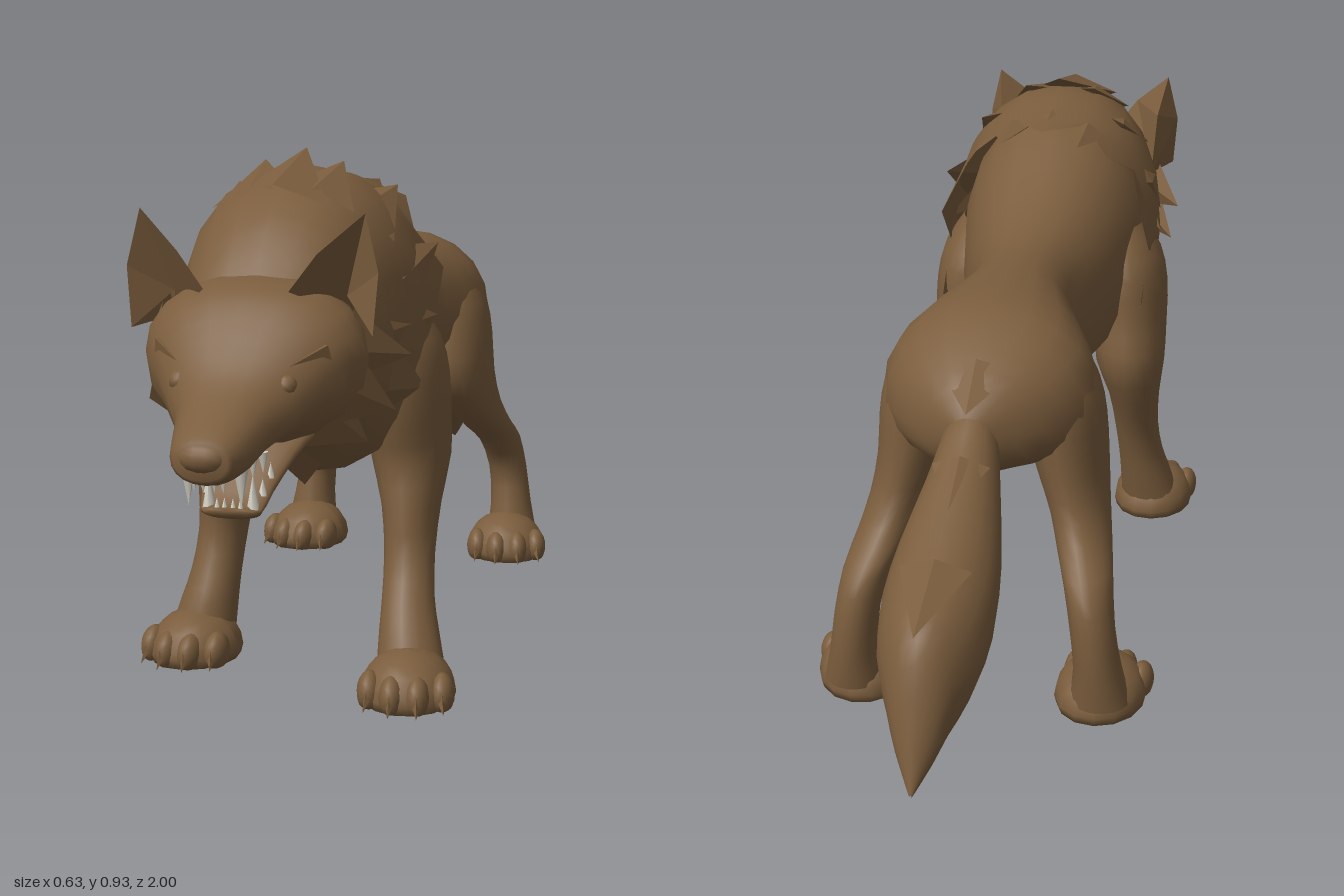
import * as THREE from 'three';

const fur = new THREE.MeshStandardMaterial({ color: 0x7b5d3d });
fur.name = 'brown fur';
const furOpen = new THREE.MeshStandardMaterial({ color: 0x7b5d3d, side: THREE.DoubleSide });
furOpen.name = 'brown fur, thin';
const ivory = new THREE.MeshStandardMaterial({ color: 0xd6d2c6 });
ivory.name = 'ivory teeth';

const SIDES = 20;
const V = (x, y, z) => new THREE.Vector3(x, y, z);

function add(parent, name, geometry, material = fur) {
  const mesh = new THREE.Mesh(geometry, material);
  mesh.name = name;
  parent.add(mesh);
  return mesh;
}

// Catmull-Rom refinement of a list of number rows
function refine(rows, steps = 2) {
  const out = [];
  for (let i = 0; i < rows.length - 1; i++) {
    const [a, b, c, d] = [rows[Math.max(i - 1, 0)], rows[i], rows[i + 1], rows[Math.min(i + 2, rows.length - 1)]];
    for (let k = 0; k < steps; k++) {
      const t = k / steps;
      out.push(b.map((_, n) => b[n] + 0.5 * t * (c[n] - a[n] + t * (2 * a[n] - 5 * b[n] + 4 * c[n] - d[n] + t * (3 * (b[n] - c[n]) + d[n] - a[n])))));
    }
  }
  out.push(rows[rows.length - 1]);
  return out;
}

// Skin over closed rings, with an optional cap on the last one
function loft(rings, capped = false) {
  const pos = [], index = [], n = rings[0].length, last = (rings.length - 1) * n;
  rings.forEach(r => r.forEach(p => pos.push(p.x, p.y, p.z)));
  for (let i = 0; i < rings.length - 1; i++) for (let j = 0; j < n; j++) {
    const k = (j + 1) % n, a = i * n + j, b = i * n + k;
    index.push(a, b, b + n, a, b + n, a + n);
  }
  if (capped) {
    const c = rings[rings.length - 1].reduce((s, p) => s.add(p), V(0, 0, 0)).divideScalar(n);
    pos.push(c.x, c.y, c.z);
    for (let j = 0; j < n; j++) index.push(last + n, last + j, last + (j + 1) % n);
  }
  const g = new THREE.BufferGeometry();
  g.setAttribute('position', new THREE.Float32BufferAttribute(pos, 3));
  g.setIndex(index);
  g.computeVertexNormals();
  return g;
}

const power = (v, e) => Math.sign(v) * Math.abs(v) ** e;

// Upright ring: z, top, bottom, half width, height of the widest point
function uprightRing([z, top, bottom, w, mid], e = 0.9) {
  return Array.from({ length: SIDES }, (_, j) => {
    const t = j / SIDES * Math.PI * 2, s = power(Math.sin(t), e);
    return V(w * power(Math.cos(t), e), mid + s * (s > 0 ? top - mid : mid - bottom), z);
  });
}

// Level ring for a leg: y, x, z, half width, half depth
function levelRing([y, x, z, rx, rz]) {
  return Array.from({ length: SIDES }, (_, j) => {
    const t = j / SIDES * Math.PI * 2;
    return V(x + rx * Math.cos(t), y, z + rz * Math.sin(t));
  });
}

// Flat pointed lock of fur
function tuft(parent, name, base, tip, w, thick, out) {
  const y = tip.clone().sub(base), len = y.length();
  y.normalize();
  const x = y.clone().cross(out).normalize(), z = x.clone().cross(y);
  const g = new THREE.ConeGeometry(1, 1, 4, 1, true).toNonIndexed();
  g.scale(w, len, thick).translate(0, len / 2, 0);
  g.applyMatrix4(new THREE.Matrix4().makeBasis(x, y, z).setPosition(base));
  g.computeVertexNormals();
  add(parent, name, g);
}

// Paw with four toes and claws, standing on the ground
function paw(parent, x, z, yaw) {
  const g = new THREE.Group();
  g.name = 'paw';
  g.position.set(x, 0, z);
  g.rotation.y = yaw;
  parent.add(g);
  const pad = (name, rx, ry, rz, px, py, pz) => {
    const s = new THREE.SphereGeometry(1, 14, 10).scale(rx, ry, rz).translate(px, py, pz), p = s.attributes.position;
    for (let i = 0; i < p.count; i++) p.setY(i, Math.max(0, p.getY(i)));
    s.computeVertexNormals();
    add(g, name, s);
  };
  pad('pawPad', 0.083, 0.072, 0.1, 0, 0.016, -0.004);
  [-0.062, -0.022, 0.022, 0.062].forEach((tx, i) => {
    const tz = i % 3 ? 0.068 : 0.042;
    pad('toe', 0.022, 0.036, 0.036, tx, 0.026, tz);
    tuft(g, 'claw', V(tx, 0.028, tz + 0.025), V(tx * 1.1, 0.002, tz + 0.046), 0.009, 0.012, V(0, 1, 0));
  });
}

export function createModel() {
  const wolf = new THREE.Group();
  wolf.name = 'wolf';
  const pair = (name, build) => [1, -1].forEach(s => {
    const g = new THREE.Group();
    g.name = (s > 0 ? 'left' : 'right') + name;
    g.scale.x = s;
    wolf.add(g);
    build(g, s);
  });

  // Trunk, running forward under the mane
  add(wolf, 'body', loft(refine([
    [-0.54, 0.58, 0.52, 0.03, 0.55], [-0.51, 0.625, 0.47, 0.085, 0.54], [-0.45, 0.665, 0.445, 0.15, 0.54],
    [-0.36, 0.71, 0.425, 0.193, 0.54], [-0.25, 0.717, 0.42, 0.17, 0.55], [-0.12, 0.715, 0.41, 0.118, 0.56],
    [0, 0.72, 0.385, 0.113, 0.55], [0.1, 0.75, 0.38, 0.138, 0.55], [0.2, 0.80, 0.375, 0.165, 0.57],
    [0.3, 0.855, 0.37, 0.185, 0.58], [0.36, 0.865, 0.37, 0.187, 0.6]]).map(r => uprightRing(r))));

  // Mane shell, its rear edge cut into points
  const maneRings = refine([
    [0.24, 0.88, 0.375, 0.205, 0.61], [0.32, 0.895, 0.365, 0.212, 0.61], [0.40, 0.905, 0.362, 0.212, 0.62],
    [0.48, 0.895, 0.415, 0.195, 0.64], [0.56, 0.865, 0.46, 0.175, 0.64], [0.63, 0.815, 0.48, 0.155, 0.63],
    [0.69, 0.745, 0.485, 0.14, 0.61]]).map(r => uprightRing(r));
  maneRings[0].forEach((p, j) => {
    if (p.y < 0.52) p.z += 0.06;
    else if (j % 2) { p.z -= 0.07; p.x *= 1.03; }
    else p.z += 0.03;
  });
  add(wolf, 'mane', loft(maneRings), furOpen);

  // Broad raised locks along the spine, shoulders and chest
  tuft(wolf, 'spineTuft', V(0, 0.855, 0.58), V(0, 0.933, 0.375), 0.09, 0.035, V(0, 1, 0));
  tuft(wolf, 'spineTuft', V(0, 0.87, 0.38), V(0, 0.885, 0.24), 0.09, 0.03, V(0, 1, 0));
  tuft(wolf, 'chestTuft', V(0, 0.46, 0.48), V(0, 0.338, 0.4), 0.1, 0.04, V(0, -0.4, 1));
  pair('ManeTufts', g => {
    [[0.05, 0.855, 0.53, 0.07, 0.912, 0.39], [0.07, 0.855, 0.36, 0.075, 0.86, 0.14],
      [0.11, 0.82, 0.46, 0.145, 0.865, 0.30], [0.17, 0.71, 0.46, 0.21, 0.76, 0.26],
      [0.165, 0.64, 0.52, 0.222, 0.64, 0.32], [0.16, 0.55, 0.52, 0.215, 0.52, 0.38]
    ].forEach(([a, b, c, d, e, f]) =>
      tuft(g, 'maneTuft', V(a, b, c), V(d, e, f), 0.075, 0.026, V(a, b - 0.62, 0.02)));
  });

  // Tail, tapering to a low point
  add(wolf, 'tail', loft(refine([
    [-1, 0.135, 0.13, 0.002, 0.132], [-0.965, 0.29, 0.145, 0.034, 0.21], [-0.93, 0.375, 0.16, 0.056, 0.27],
    [-0.87, 0.415, 0.19, 0.083, 0.3], [-0.79, 0.45, 0.23, 0.095, 0.34], [-0.7, 0.49, 0.29, 0.088, 0.39],
    [-0.6, 0.54, 0.355, 0.068, 0.45], [-0.53, 0.585, 0.42, 0.052, 0.51], [-0.47, 0.61, 0.49, 0.04, 0.56]
  ]).map(r => uprightRing(r, 1))));
  tuft(wolf, 'tailTuft', V(0, 0.43, -0.8), V(0, 0.395, -0.96), 0.06, 0.022, V(0, 1, 0.4));
  tuft(wolf, 'tailTuft', V(0, 0.52, -0.6), V(0, 0.485, -0.71), 0.05, 0.022, V(0, 1, 0.4));
  tuft(wolf, 'rumpTuft', V(0, 0.64, -0.46), V(0, 0.595, -0.56), 0.07, 0.022, V(0, 1, -0.5));

  // Front legs: the right one is set further back
  pair('FrontLeg', (g, s) => {
    const shift = y => s > 0 ? 0 : -0.14 * Math.max(0, 1 - y / 0.5);
    const rows = [[0.66, 0.14, 0.32, 0.045, 0.07], [0.6, 0.153, 0.315, 0.07, 0.115], [0.53, 0.163, 0.31, 0.076, 0.125],
      [0.45, 0.168, 0.305, 0.074, 0.115], [0.38, 0.172, 0.30, 0.07, 0.10], [0.30, 0.18, 0.335, 0.052, 0.08],
      [0.22, 0.185, 0.372, 0.045, 0.055], [0.15, 0.192, 0.415, 0.046, 0.055], [0.10, 0.2, 0.445, 0.052, 0.06],
      [0.04, 0.21, 0.475, 0.06, 0.06]];
    add(g, 'frontLeg', loft(refine(rows).map(([y, x, z, a, b]) => levelRing([y, x, z + shift(y), a, b]))));
    paw(g, 0.215, 0.52 + shift(0), 0.12);
  });

  // Hind legs: thigh, hock and paw
  pair('HindLeg', g => {
    add(g, 'hindLeg', loft(refine([[0.64, 0.11, -0.33, 0.05, 0.08], [0.57, 0.122, -0.325, 0.07, 0.115],
      [0.5, 0.132, -0.32, 0.073, 0.125], [0.42, 0.146, -0.32, 0.064, 0.125], [0.35, 0.165, -0.355, 0.054, 0.1],
      [0.29, 0.185, -0.42, 0.048, 0.08], [0.25, 0.2, -0.475, 0.043, 0.07], [0.18, 0.213, -0.51, 0.04, 0.05],
      [0.1, 0.222, -0.505, 0.043, 0.054], [0.03, 0.226, -0.495, 0.055, 0.055]]).map(levelRing)));
    paw(g, 0.222, -0.445, 0.18);
  });

  // Skull and blunt muzzle
  add(wolf, 'head', loft(refine([
    [0.61, 0.74, 0.50, 0.13, 0.62], [0.65, 0.752, 0.485, 0.17, 0.62], [0.69, 0.75, 0.48, 0.185, 0.625],
    [0.74, 0.735, 0.485, 0.17, 0.625], [0.785, 0.695, 0.495, 0.138, 0.605], [0.83, 0.645, 0.495, 0.104, 0.565],
    [0.87, 0.608, 0.488, 0.08, 0.54], [0.92, 0.578, 0.473, 0.068, 0.52], [0.965, 0.555, 0.47, 0.056, 0.512],
    [0.988, 0.54, 0.482, 0.042, 0.512]]).map(r => uprightRing(r)), true));
  add(wolf, 'nose', new THREE.SphereGeometry(1, 14, 10).scale(0.044, 0.027, 0.03).translate(0, 0.516, 0.97));

  // Open lower jaw, dropping steeply from the cheeks
  add(wolf, 'lowerJaw', loft(refine([
    [0.70, 0.53, 0.475, 0.1, 0.5], [0.75, 0.495, 0.45, 0.08, 0.47], [0.8, 0.45, 0.41, 0.06, 0.43],
    [0.84, 0.412, 0.387, 0.05, 0.4], [0.86, 0.41, 0.397, 0.032, 0.404]]).map(r => uprightRing(r)), true));

  // Teeth: canines and a few small ones, above and below
  const tooth = (x, y, z, h, r) => {
    const t = new THREE.ConeGeometry(r, Math.abs(h), 6);
    if (h < 0) t.rotateX(Math.PI);
    add(wolf, 'tooth', t.translate(x, y + h / 2, z), ivory);
  };
  for (const s of [-1, 1]) {
    tooth(s * 0.042, 0.488, 0.92, -0.062, 0.012);
    tooth(s * 0.036, 0.402, 0.838, 0.06, 0.011);
    for (let i = 0; i < 2; i++) {
      tooth(s * (0.009 + i * 0.014), 0.48, 0.95, -0.024, 0.007);
      tooth(s * (0.007 + i * 0.012), 0.402, 0.85, 0.022, 0.006);
      tooth(s * (0.05 + i * 0.006), 0.5, 0.885 - i * 0.035, -0.034, 0.009);
      tooth(s * (0.045 + i * 0.006), 0.42 + i * 0.02, 0.815 - i * 0.025, 0.03, 0.008);
    }
  }

  // Face: cupped ears, angry brows, eyes and cheek fur
  pair('Face', g => {
    const A = V(0.07, 0.735, 0.75), B = V(0.2, 0.665, 0.725), M = V(0.208, 0.765, 0.72), T = V(0.186, 0.858, 0.715);
    const N = V(0.115, 0.795, 0.745), C = V(0.165, 0.67, 0.615), K = V(0.172, 0.79, 0.645), D = V(0.145, 0.72, 0.67);
    const ear = new THREE.BufferGeometry().setFromPoints([
      A, D, N, N, D, T, D, M, T, D, B, M,
      A, N, C, N, K, C, N, T, K, T, M, K, M, C, K, M, B, C]);
    ear.computeVertexNormals();
    add(g, 'ear', ear, furOpen);
    tuft(g, 'brow', V(0.135, 0.645, 0.765), V(0.035, 0.597, 0.862), 0.016, 0.02, V(0.3, 0.8, 1));
    add(g, 'eye', new THREE.SphereGeometry(0.018, 12, 8).translate(0.086, 0.6, 0.822));
    [[0.145, 0.64, 0.69, 0.23, 0.612, 0.57], [0.145, 0.58, 0.71, 0.213, 0.525, 0.61],
      [0.115, 0.54, 0.71, 0.165, 0.47, 0.61]
    ].forEach(([a, b, c, d, e, f]) =>
      tuft(g, 'cheekTuft', V(a, b, c), V(d, e, f), 0.065, 0.026, V(1, -0.2, 0.5)));
  });
  return wolf;
}
